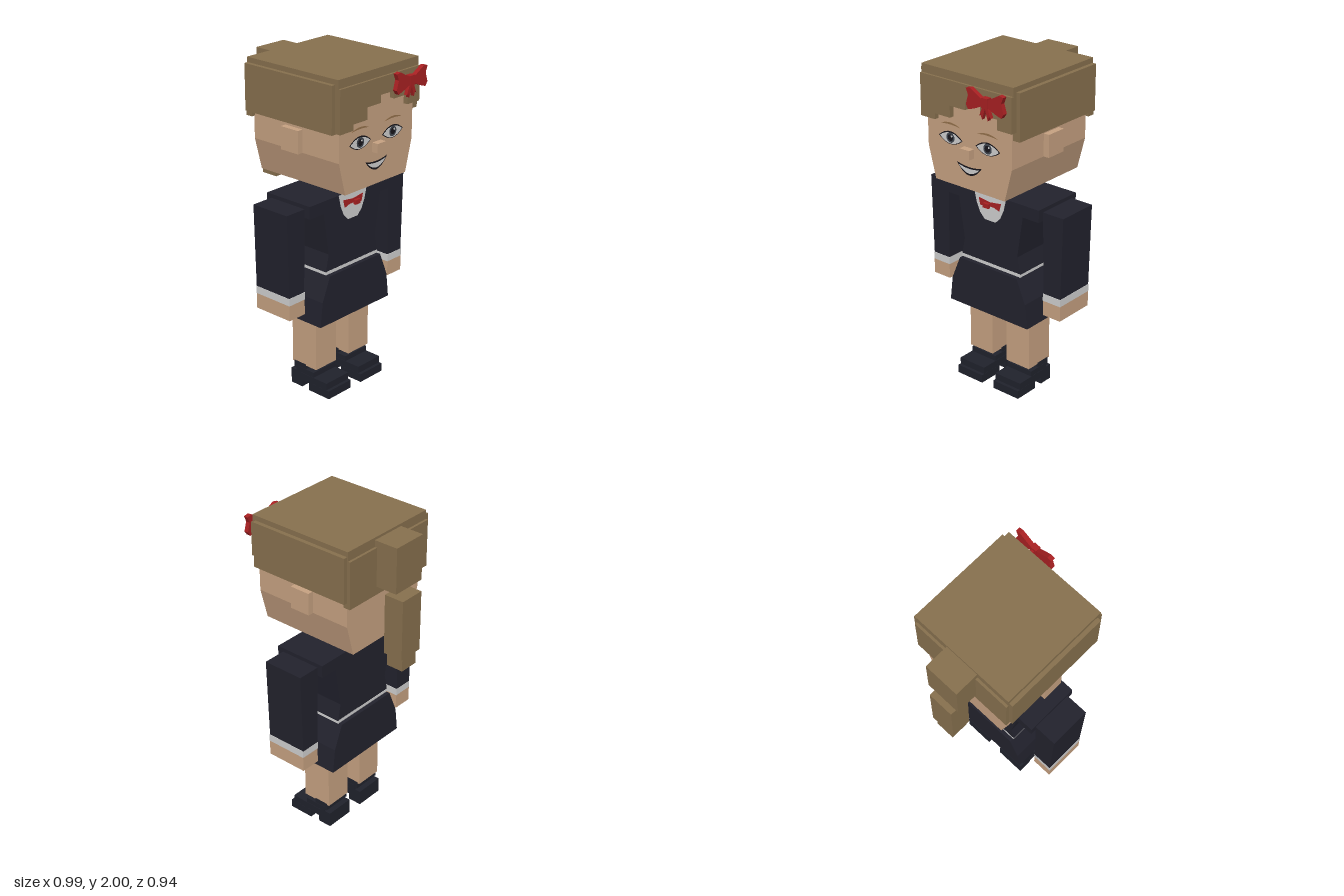
import * as THREE from 'three';

const mat = (name, color) => {
  const m = new THREE.MeshStandardMaterial({ color });
  m.name = name;
  return m;
};

export function createModel() {
  const skin = mat('skin', 0xc6a181);
  const hair = mat('hair', 0x87704e);
  const navy = mat('navy cloth', 0x22222d);
  const white = mat('white cloth', 0xcfcfcf);
  const red = mat('red ribbon', 0xa82022);
  const black = mat('shoe black', 0x20222c);
  const ink = mat('face ink', 0x17151a);
  const iris = mat('iris', 0x3f454e);
  const brow = mat('brow', 0x94714c);

  const model = new THREE.Group();
  model.name = 'schoolgirl';

  const add = (name, geometry, material) => {
    const mesh = new THREE.Mesh(geometry, material);
    mesh.name = name;
    model.add(mesh);
    return mesh;
  };
  // Box given by its limits on each axis
  const box = (name, material, x0, x1, y0, y1, z0, z1) => {
    const g = new THREE.BoxGeometry(x1 - x0, y1 - y0, z1 - z0);
    g.translate((x0 + x1) / 2, (y0 + y1) / 2, (z0 + z1) / 2);
    return add(name, g, material);
  };
  // Front outline pushed from z0 to z1
  const prism = (name, material, outline, z0, z1) => {
    const shape = outline instanceof THREE.Shape ? outline
      : new THREE.Shape(outline.map(([x, y]) => new THREE.Vector2(x, y)));
    const g = new THREE.ExtrudeGeometry(shape, { depth: z1 - z0, bevelEnabled: false, curveSegments: 10 });
    g.translate(0, 0, z0);
    return add(name, g, material);
  };
  // Completes a right-hand outline with its mirror image
  const mirrored = (pts) => [...pts, ...pts.map(([x, y]) => [-x, y]).reverse()];
  // Lens between two curves sharing their end points
  const lens = (cx, w, yEnd, yTop, yBottom) => {
    const s = new THREE.Shape();
    s.moveTo(cx - w, yEnd);
    s.quadraticCurveTo(cx, yBottom, cx + w, yEnd);
    s.quadraticCurveTo(cx, yTop, cx - w, yEnd);
    return s;
  };
  const disc = (cx, cy, r) => {
    const s = new THREE.Shape();
    s.absarc(cx, cy, r, 0, Math.PI * 2);
    return s;
  };

  // Head and neck
  prism('head', skin, mirrored([[0.255, 1.33], [0.306, 1.525], [0.306, 1.96]]), -0.27, 0.375);
  box('nose', skin, -0.035, 0.035, 1.525, 1.58, 0.37, 0.415);
  box('neck', skin, -0.085, 0.085, 1.23, 1.34, -0.055, 0.125);

  // Face details
  const face = 0.375;
  for (const s of [-1, 1]) {
    const x = s * 0.136;
    prism('eyeOutline', ink, lens(x, 0.088, 1.604, 1.682, 1.53), face, face + 0.001);
    prism('eyeWhite', white, lens(x, 0.08, 1.604, 1.666, 1.537), face, face + 0.002);
    prism('iris', iris, disc(x, 1.606, 0.03), face, face + 0.003);
    prism('pupil', ink, disc(x, 1.606, 0.019), face, face + 0.004);
    prism('eyeGlint', white, disc(x + 0.01, 1.616, 0.006), face, face + 0.005);
    prism('eyebrow', brow, lens(x, 0.073, 1.677, 1.712, 1.69), face, face + 0.002);
  }
  prism('mouth', ink, lens(0, 0.09, 1.477, 1.452, 1.353), face, face + 0.002);
  prism('teeth', white, lens(0, 0.076, 1.466, 1.445, 1.388), face, face + 0.004);

  // Hair
  box('hairCap', hair, -0.33, 0.33, 1.945, 2.0, -0.295, 0.39);
  box('hairBack', hair, -0.33, 0.33, 1.66, 1.945, -0.31, -0.265);
  prism('fringe', hair, [
    [-0.33, 1.95], [-0.33, 1.7], [-0.225, 1.7], [-0.225, 1.735], [-0.112, 1.735], [-0.112, 1.805],
    [0, 1.805], [0, 1.85], [0.11, 1.85], [0.11, 1.805], [0.228, 1.805], [0.228, 1.745],
    [0.33, 1.745], [0.33, 1.95],
  ], 0.365, 0.404);
  box('bun', hair, -0.11, 0.11, 1.71, 1.985, -0.445, -0.29);
  box('ponytail', hair, -0.08, 0.08, 1.29, 1.66, -0.47, -0.345);
  box('ponytailTip', hair, -0.06, 0.06, 1.205, 1.29, -0.46, -0.352);

  // Hair bow
  const bx = 0.192;
  for (const s of [-1, 1]) {
    const at = (pts) => pts.map(([x, y]) => [bx + s * x, y]);
    prism('bowLoop', red, at([[0.015, 1.92], [0.1, 1.968], [0.13, 1.962], [0.115, 1.925],
      [0.132, 1.87], [0.115, 1.845], [0.07, 1.86], [0.015, 1.885]]), 0.436, 0.463);
    prism('bowTail', red, at([[0, 1.885], [0.018, 1.88], [0.04, 1.825], [0.03, 1.835],
      [0.02, 1.808], [0.004, 1.86]]), 0.438, 0.46);
  }
  box('bowKnot', red, bx - 0.021, bx + 0.021, 1.875, 1.932, 0.432, 0.467);
  box('bowPin', red, bx - 0.009, bx + 0.009, 1.895, 1.915, 0.4, 0.44);

  // Jacket, belt and skirt
  prism('jacket', navy, mirrored([[0.2, 0.805], [0.235, 0.81], [0.2, 0.91], [0.24, 1.17],
    [0.355, 1.17], [0.355, 1.245]].map(([x, y]) => [y < 0.82 ? 0.222 : x, y])), -0.13, 0.203);
  box('belt', white, -0.22, 0.22, 0.785, 0.808, -0.131, 0.204);
  prism('skirt', navy, mirrored([[0.298, 0.488], [0.28, 0.64], [0.218, 0.788]]), -0.155, 0.23);

  // Shirt front and bow tie
  prism('shirtFront', white, mirrored([[0.04, 1.08], [0.075, 1.115], [0.1, 1.17], [0.118, 1.244]]), 0.203, 0.206);
  for (const s of [-1, 1]) {
    prism('tieLoop', red, [[0, 1.197], [s * 0.083, 1.208], [s * 0.07, 1.16], [s * 0.03, 1.172], [0, 1.172]], 0.206, 0.209);
  }
  box('tieKnot', red, -0.02, 0.02, 1.173, 1.2, 0.228, 0.246);

  // Paired parts: ear, side hair, arm, leg and shoe
  for (const s of [-1, 1]) {
    const side = (name, m, xIn, xOut, ...rest) =>
      box(name, m, Math.min(s * xIn, s * xOut), Math.max(s * xIn, s * xOut), ...rest);
    side('ear', skin, 0.3, 0.343, 1.525, 1.66, -0.025, 0.105);
    side('sideHair', hair, 0.295, 0.355, 1.695, 1.97, -0.29, 0.367);

    prism('sleeve', navy, [[0.355, 1.222], [0.497, 1.222], [0.485, 0.718], [0.364, 0.718]]
      .map(([x, y]) => [s * x, y]), -0.095, 0.165);
    side('cuff', white, 0.361, 0.487, 0.673, 0.718, -0.095, 0.168);
    side('hand', skin, 0.362, 0.486, 0.58, 0.673, -0.094, 0.167);

    side('leg', skin, 0.055, 0.23, 0.15, 0.495, -0.06, 0.13);
    side('shoeSole', black, 0.045, 0.238, 0, 0.052, 0.08, 0.24);
    side('shoeUpper', black, 0.046, 0.237, 0.045, 0.095, 0.005, 0.22);
    side('shoeHeel', black, 0.05, 0.233, 0, 0.097, -0.07, 0.018);
    side('shoeInstep', black, 0.048, 0.235, 0.088, 0.128, -0.028, 0.114);
    side('shoeStrap', black, 0.05, 0.233, 0.11, 0.158, -0.045, 0.048);
  }

  return model;
}
